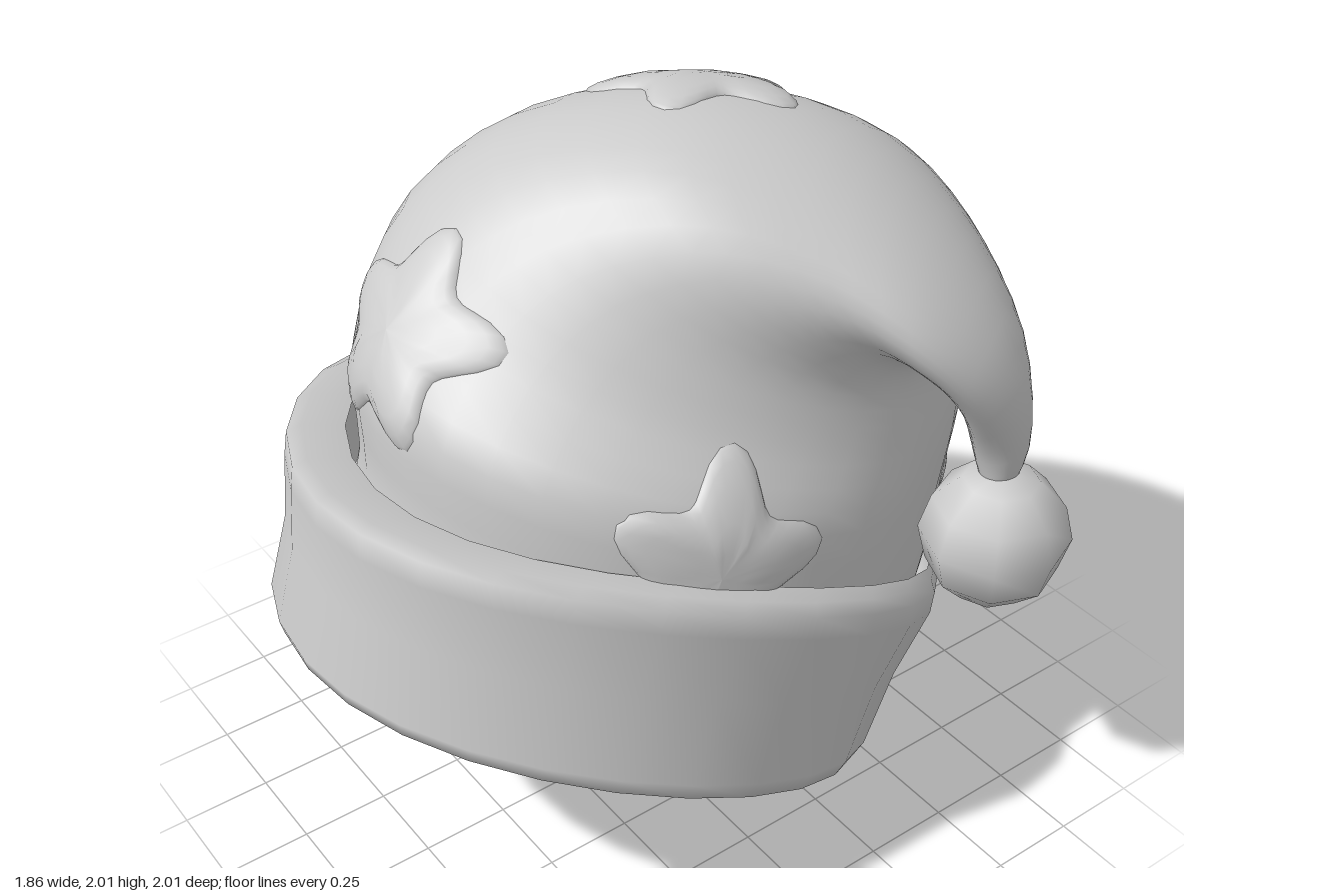
import * as THREE from 'three';

const V = (x, y, z) => new THREE.Vector3(x, y, z);
const material = new THREE.MeshStandardMaterial({ color: 0xcccccc, side: THREE.DoubleSide });

// Surface through closed rings: point(i, j) gives vertex j of ring i
function ringSurface(name, rings, sides, point) {
  const pos = [], index = [];
  for (let i = 0; i < rings; i++) {
    for (let j = 0; j < sides; j++) {
      pos.push(...point(i, j).toArray());
      if (i === rings - 1) continue;
      const a = i * sides + j, b = i * sides + (j + 1) % sides;
      index.push(a, b, a + sides, b, b + sides, a + sides);
    }
  }
  const g = new THREE.BufferGeometry();
  g.setAttribute('position', new THREE.Float32BufferAttribute(pos, 3));
  g.setIndex(index);
  g.computeVertexNormals();
  const mesh = new THREE.Mesh(g, material);
  mesh.name = name;
  return mesh;
}

// Cap: tilted rings from the opening that fan over and shrink into the drooping tail.
// Each row: outer edge (along, y), inner edge (along, y), half width, forward tilt, sideways shift
function buildCap() {
  const rows = [
    [-0.87, 0.64, 0.57, 0.26, 0.72, 0.26, 0.19],
    [-0.75, 0.98, 0.74, 0.58, 0.80, 0.26, 0],
    [-0.76, 1.30, 0.78, 0.92, 0.81, 0.22, -0.05],
    [-0.67, 1.63, 0.80, 1.12, 0.69, 0.12, -0.12],
    [-0.40, 1.87, 0.79, 1.27, 0.59, 0.07, -0.14],
    [0.05, 1.99, 0.78, 1.36, 0.49, 0.04, -0.11],
    [0.43, 1.93, 0.80, 1.42, 0.39, 0, -0.06],
    [0.75, 1.75, 0.83, 1.41, 0.30, 0, 0.02],
    [0.96, 1.51, 0.85, 1.34, 0.19, 0, 0.06],
    [1.02, 1.25, 0.88, 1.20, 0.08, 0, 0.07],
    [0.99, 1.08, 0.92, 1.08, 0.05, 0, 0.07],
  ];
  const curve = (a, b, c) =>
    new THREE.CatmullRomCurve3(rows.map((r) => V(r[a], r[b], c ? r[c] : 0)));
  const outer = curve(0, 1), inner = curve(2, 3), width = curve(4, 5, 6);
  const rings = 36, sides = 36;
  return ringSurface('cap', rings, sides, (i, j) => {
    const u = i / (rings - 1), t = -j / sides * Math.PI * 2;
    const o = outer.getPoint(u), n = inner.getPoint(u), w = width.getPoint(u);
    const c = Math.cos(t), s = Math.sin(t), shear = -0.05 * Math.sin(Math.PI * Math.sqrt(u));
    const along = (o.x + n.x) / 2 + c * (n.x - o.x) / 2 + s * shear;
    const across = s * w.x + c * shear + w.z;
    const y = (o.y + n.y) / 2 + c * (n.y - o.y) / 2 + s * w.y;
    return V(-0.1 + 0.8 * along + 0.6 * across, y, -0.1 - 0.6 * along + 0.8 * across);
  });
}

// Folded cuff, a little wider toward the back.
// Each row: half width, front z, back z, front y, back y, side lift
function buildCuff() {
  const rows = [
    [0.72, 0.87, -0.59, 0.71, 0.05, 0.05],
    [0.76, 0.93, -0.60, 0.70, 0.02, 0.07],
    [0.82, 0.99, -0.62, 0.73, 0.00, 0.09],
    [0.83, 1.00, -0.66, 0.77, 0.03, 0.10],
    [0.81, 0.94, -0.78, 0.98, 0.20, 0.12],
    [0.83, 0.92, -0.90, 1.16, 0.37, 0.14],
    [0.82, 0.91, -0.92, 1.23, 0.43, 0.13],
    [0.79, 0.87, -0.92, 1.24, 0.46, 0.13],
    [0.74, 0.75, -0.92, 1.20, 0.47, 0.13],
  ];
  const sides = 28;
  return ringSurface('cuff', rows.length, sides, (i, j) => {
    const [w, zf, zb, yf, yb, lift] = rows[i];
    const t = j / sides * Math.PI * 2, c = Math.cos(t), s = Math.sin(t);
    return V(-0.1 + w * s * (1 - 0.07 * c), (yf + yb) / 2 + c * (yf - yb) / 2 + lift * s * s,
      (zf + zb) / 2 + c * (zf - zb) / 2);
  });
}

// Puffy star draped over the cap near a target point
function buildStar(name, cap, target, up, turn) {
  const ray = new THREE.Raycaster();
  const cast = (from, dir) => {
    ray.set(from, dir);
    return ray.intersectObject(cap)[0];
  };
  const heart = V(-0.1, 1.1, -0.1);
  const dir = target.clone().sub(heart).normalize();
  const hit = cast(heart.clone().addScaledVector(dir, 3), dir.clone().negate());
  const n = hit.face.normal.clone();
  if (n.dot(dir) < 0) n.negate();
  n.add(dir).normalize();
  const right = up.clone().cross(n).normalize(), top = n.clone().cross(right);
  const back = n.clone().negate();
  const fractions = [1, 0.98, 0.9, 0.75, 0.5, 0.25, 0.001], sides = 50;
  return ringSurface(name, fractions.length, sides, (i, j) => {
    const f = fractions[i], a = j / sides * Math.PI * 2;
    const r = f * (0.235 + 0.054 * Math.cos(5 * a) + 0.003 * Math.cos(10 * a));
    const phi = a + Math.PI / 2 + turn;
    const p = hit.point.clone().addScaledVector(right, r * Math.cos(phi))
      .addScaledVector(top, r * Math.sin(phi));
    const h = cast(p.clone().addScaledVector(n, 0.4), back);
    return (h ? h.point.clone() : p).addScaledVector(n, 0.03 * Math.sqrt(1 - f ** 4));
  });
}

export function createModel() {
  const group = new THREE.Group();
  group.name = 'nightcap';
  const cap = buildCap();
  group.add(cap, buildCuff());

  // Pompom at the end of the tail
  const pompom = new THREE.Mesh(new THREE.SphereGeometry(0.2, 8, 6), material);
  pompom.name = 'pompom';
  pompom.position.set(0.73, 0.96, -0.6);
  group.add(pompom);

  // Stars around the cap
  const y = V(0, 1, 0);
  const stars = [
    ['frontStar', V(-0.2, 1.52, 0.56), y, 0.14],
    ['topStar', V(-0.23, 1.92, -0.35), V(0, 0, -1), 0],
    ['leftStar', V(0.56, 1.1, 0.19), y, -0.3],
    ['rightStar', V(-0.68, 1.15, -0.61), y, 0],
    ['backStar', V(0.12, 0.75, -0.93), y, 0],
  ];
  for (const [name, target, up, turn] of stars) group.add(buildStar(name, cap, target, up, turn));
  return group;
}
